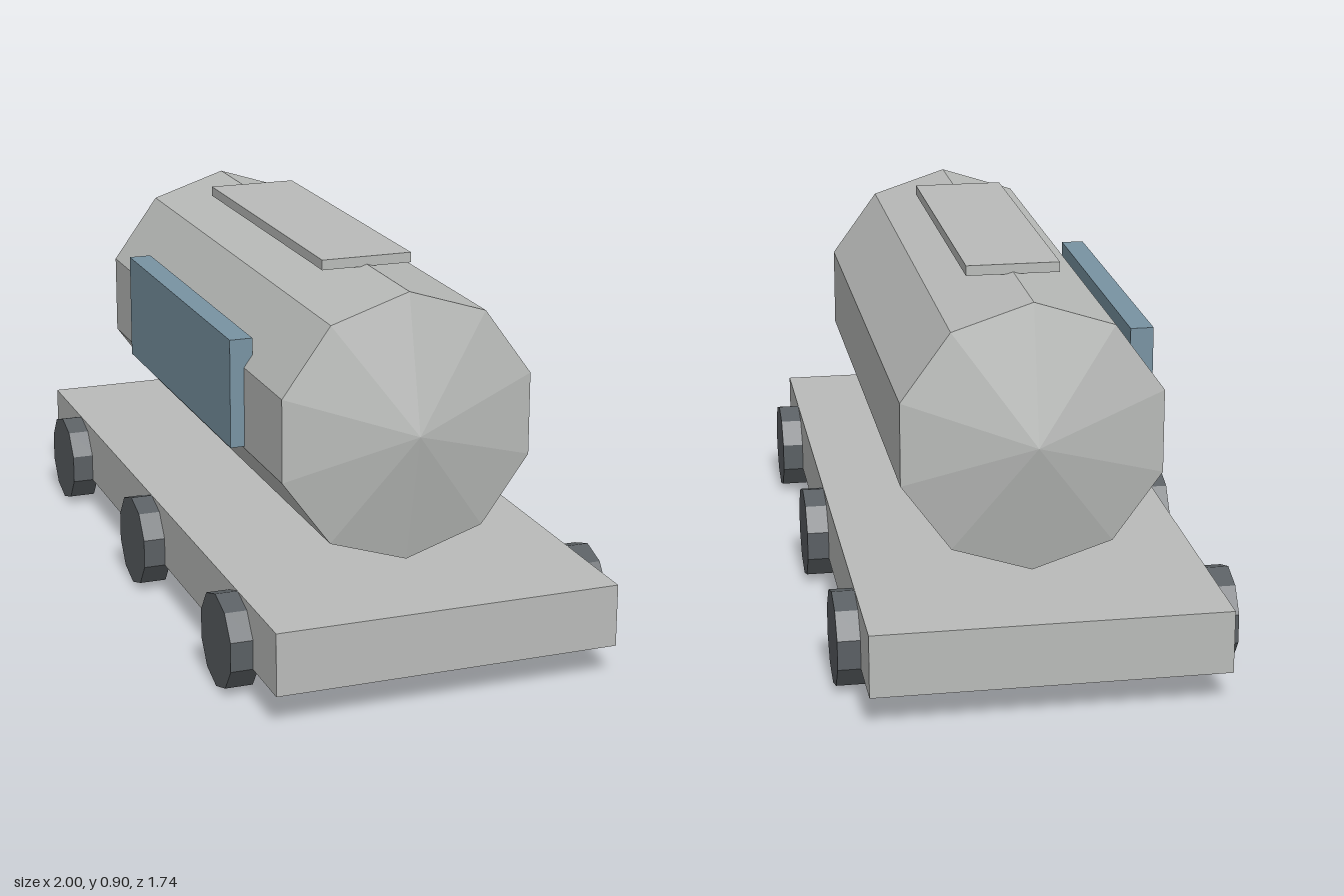
import * as THREE from 'three';

const flat = (name, color) => {
  const m = new THREE.MeshStandardMaterial({ color, flatShading: true });
  m.name = name;
  return m;
};

export function createModel() {
  const grey = flat('hull grey', 0xb9bbb9);
  const blue = flat('panel blue', 0x7893a2);
  const dark = flat('wheel charcoal', 0x5a5f63);

  const model = new THREE.Group();
  model.name = 'tankWagon';

  const add = (name, geometry, material, x, y, z) => {
    const mesh = new THREE.Mesh(geometry, material);
    mesh.name = name;
    mesh.position.set(x, y, z);
    model.add(mesh);
    return mesh;
  };

  // Flat deck
  add('deck', new THREE.BoxGeometry(1.867, 0.148, 0.818), grey, 0, 0.15, 0);

  // Ten-sided tank with shallow pointed ends, one ridge at the top
  const profile = [[0, -0.745], [0.317, -0.67], [0.317, 0.67], [0, 0.745]];
  const tank = new THREE.LatheGeometry(profile.map(([r, h]) => new THREE.Vector2(r, h)), 10);
  tank.rotateY(Math.PI / 2).rotateZ(Math.PI / 2);
  add('tank', tank, grey, 0, 0.563, 0);

  // Thin plate on the roof and blue panel on the front side
  add('roofPlate', new THREE.BoxGeometry(0.82, 0.024, 0.22), grey, 0, 0.887, 0);
  add('sidePanel', new THREE.BoxGeometry(0.82, 0.26, 0.055), blue, 0, 0.6, 0.308);

  // Three wheels along each side
  const wheel = new THREE.CylinderGeometry(0.112, 0.112, 0.065, 10).rotateX(Math.PI / 2);
  for (const side of [-1, 1]) {
    for (const x of [-0.672, 0, 0.672]) {
      add('wheel', wheel, dark, x, 0.112, side * 0.429);
    }
  }

  // The wagon stands turned across the axes
  model.rotation.y = -THREE.MathUtils.degToRad(35);

  const root = new THREE.Group();
  root.name = 'model';
  root.add(model);
  return root;
}
